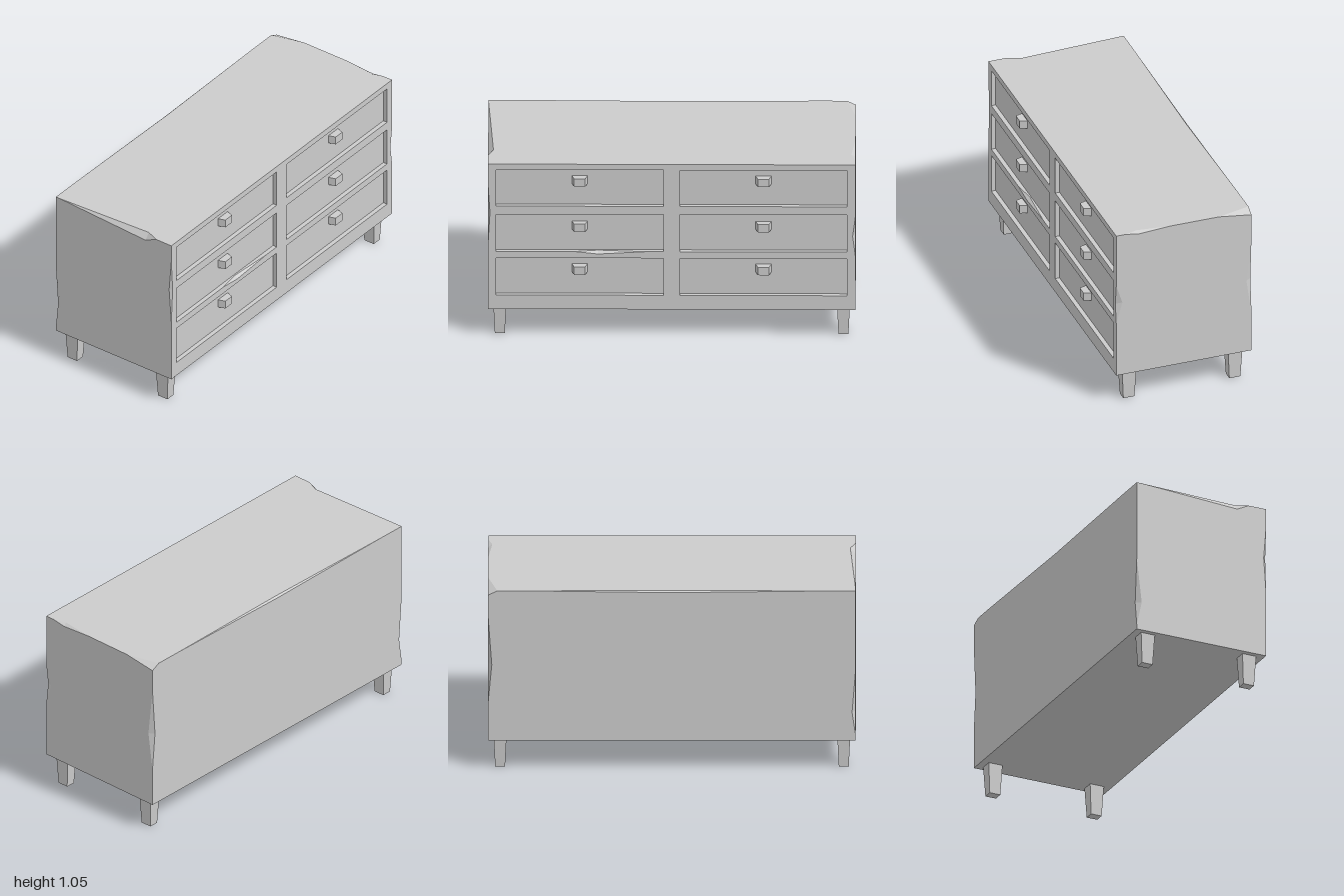
import * as THREE from 'three';

const material = new THREE.MeshStandardMaterial({ color: 0xcccccc, flatShading: true });
const X = 1, Y0 = 0.175, Y1 = 1.055, ZB = -0.4, ZF = 0.385, RECESS = 0.36;
const ROWS = [[0.26, 0.485, 0.415], [0.525, 0.75, 0.675], [0.8, 1.02, 0.95]]; // bottom, top, knob height
const COLUMNS = [-0.5, 0.5];

// Worn edges: [start, end, dent on one face, dent on the other]
const CHIPS = [
  [[X, 0.4, ZB], [X, 0.9, ZB], [X, 0.62, -0.37], [0.98, 0.62, ZB]],
  [[-X, 0.2, ZB], [-X, 0.6, ZB], [-X, 0.34, -0.37], [-0.98, 0.34, ZB]],
  [[X, 0.5, ZF], [X, 0.74, ZF], [X, 0.63, 0.35], [0.985, 0.62, ZF]],
  [[-X, 0.55, ZF], [-X, 0.95, ZF], [-X, 0.76, 0.37], [-0.988, 0.76, ZF]],
  [[X, Y1, 0.07], [X, Y1, 0.33], [X, 1.043, 0.255], [0.978, Y1, 0.26]],
  [[-X, Y1, -0.38], [-X, Y1, 0.28], [-X, 1.02, 0.21], [-0.97, Y1, 0.21]],
  [[-0.84, Y1, ZB], [0.8, Y1, ZB], [0, Y1, -0.39], [0, 1.045, ZB]],
];
const CUT_CORNER = [[X, Y1, -0.21], [0.95, Y1, ZB], [X, 1.03, ZB]];
const LEDGE_CHIP = [[-0.53, 0.525, ZF], [-0.14, 0.525, ZF], [-0.4, 0.51, ZF], [-0.4, 0.525, 0.367]];

// Collects triangles, each turned to face a given direction
function surface() {
  const positions = [];
  const tri = (a, b, c, toward) => {
    const [A, B, C] = [a, b, c].map((p) => new THREE.Vector3(...p));
    const n = B.clone().sub(A).cross(C.clone().sub(A));
    const order = n.dot(toward) < 0 ? [a, c, b] : [a, b, c];
    order.forEach((p) => positions.push(...p));
  };
  // Flat polygon perpendicular to an axis, with optional holes
  const polygon = (axis, sign, outline, holes = []) => {
    const [u, v] = [0, 1, 2].filter((i) => i !== axis);
    const flat = (loop) => loop.map((p) => new THREE.Vector2(p[u], p[v]));
    const loop2 = flat(outline);
    const ccw = !THREE.ShapeUtils.isClockWise(loop2);
    const outer = ccw ? outline : [...outline].reverse();
    const inner = holes.map((h) => (THREE.ShapeUtils.isClockWise(flat(h)) ? h : [...h].reverse()));
    const all = [outer, ...inner].flat();
    const toward = new THREE.Vector3().setComponent(axis, sign);
    THREE.ShapeUtils.triangulateShape(flat(outer), inner.map(flat))
      .forEach(([a, b, c]) => tri(all[a], all[b], all[c], toward));
  };
  const mesh = (name) => {
    const g = new THREE.BufferGeometry();
    g.setAttribute('position', new THREE.Float32BufferAttribute(positions, 3));
    g.computeVertexNormals();
    const m = new THREE.Mesh(g, material);
    m.name = name;
    return m;
  };
  return { tri, polygon, mesh };
}

// Outline of one side of the body: its corners and the dents that touch it
function sideOutline(axis, value) {
  const points = [];
  for (const x of [-X, X]) for (const y of [Y0, Y1]) for (const z of [ZB, ZF]) {
    if (!(x === X && y === Y1 && z === ZB)) points.push([x, y, z]);
  }
  points.push(...CHIPS.flat(), ...CUT_CORNER);
  const centre = [0, (Y0 + Y1) / 2, (ZB + ZF) / 2];
  const [u, v] = [0, 1, 2].filter((i) => i !== axis);
  const angle = (p) => Math.atan2(p[v] - centre[v], p[u] - centre[u]);
  return points.filter((p) => p[axis] === value).sort((a, b) => angle(a) - angle(b));
}

function buildBody() {
  const s = surface();
  const holes = [];
  for (const cx of COLUMNS) for (const [y0, y1] of ROWS) {
    const l = cx - 0.455, r = cx + 0.455;
    const worn = cx < 0 && y0 === 0.525;
    const [a, b, low, back] = LEDGE_CHIP;
    const hole = [[l, y0, ZF], ...(worn ? [a, low, b] : []), [r, y0, ZF], [r, y1, ZF], [l, y1, ZF]];
    holes.push(hole);
    // Recess walls and drawer panel
    const ledge = [[l, y0, ZF], ...(worn ? [a, back, b] : []), [r, y0, ZF], [r, y0, RECESS], [l, y0, RECESS]];
    s.polygon(1, 1, ledge);
    s.polygon(1, -1, [[l, y1, ZF], [r, y1, ZF], [r, y1, RECESS], [l, y1, RECESS]]);
    for (const [x, sign] of [[l, 1], [r, -1]]) {
      s.polygon(0, sign, [[x, y0, ZF], [x, y1, ZF], [x, y1, RECESS], [x, y0, RECESS]]);
    }
    s.polygon(2, 1, [[l, y0, RECESS], [r, y0, RECESS], [r, y1, RECESS], [l, y1, RECESS]]);
  }
  // Six sides
  [[0, X, 1], [0, -X, -1], [1, Y1, 1], [1, Y0, -1], [2, ZB, -1], [2, ZF, 1]].forEach(([axis, value, sign]) =>
    s.polygon(axis, sign, sideOutline(axis, value), value === ZF ? holes : []));
  // Dented edge facets
  for (const [a, b, p, q] of CHIPS) {
    const mid = a.map((c, i) => (c + b[i]) / 2);
    const toward = new THREE.Vector3(...[0, 1, 2].map((i) =>
      (a[i] === b[i] ? Math.sign(mid[i] - [0, 0.6, 0][i]) : 0)));
    s.tri(a, p, q, toward);
    s.tri(b, p, q, toward);
  }
  s.tri(...CUT_CORNER, new THREE.Vector3(1, 1, -1));
  const [a, b, p, q] = LEDGE_CHIP;
  s.tri(a, p, q, new THREE.Vector3(0, 1, 1));
  s.tri(b, p, q, new THREE.Vector3(0, 1, 1));
  return s.mesh('body');
}

// Box whose section shrinks toward one end of an axis
function taperedBox(size, axis, end, scale) {
  const g = new THREE.BoxGeometry(...size);
  const pos = g.attributes.position;
  for (let i = 0; i < pos.count; i++) {
    if (Math.sign(pos.getComponent(i, axis)) !== end) continue;
    for (let k = 0; k < 3; k++) if (k !== axis) pos.setComponent(i, k, pos.getComponent(i, k) * scale[k]);
  }
  g.computeVertexNormals();
  return g;
}

export function createModel() {
  const group = new THREE.Group();
  group.name = 'dresser';
  group.add(buildBody());
  const add = (name, geometry, x, y, z) => {
    const m = new THREE.Mesh(geometry, material);
    m.name = name;
    m.position.set(x, y, z);
    group.add(m);
  };
  // Drawer knobs
  const knob = taperedBox([0.086, 0.048, 0.04], 2, 1, [0.7, 1, 1]);
  for (const x of COLUMNS) for (const row of ROWS) add('drawerKnob', knob, x, row[2], 0.38);
  // Tapered legs
  const leg = taperedBox([0.07, Y0, 0.083], 1, -1, [0.77, 1, 0.77]);
  for (const x of [-0.935, 0.935]) {
    add('frontLeg', leg, x, Y0 / 2, 0.298);
    add('backLeg', leg, x, Y0 / 2, -0.317);
  }
  return group;
}
